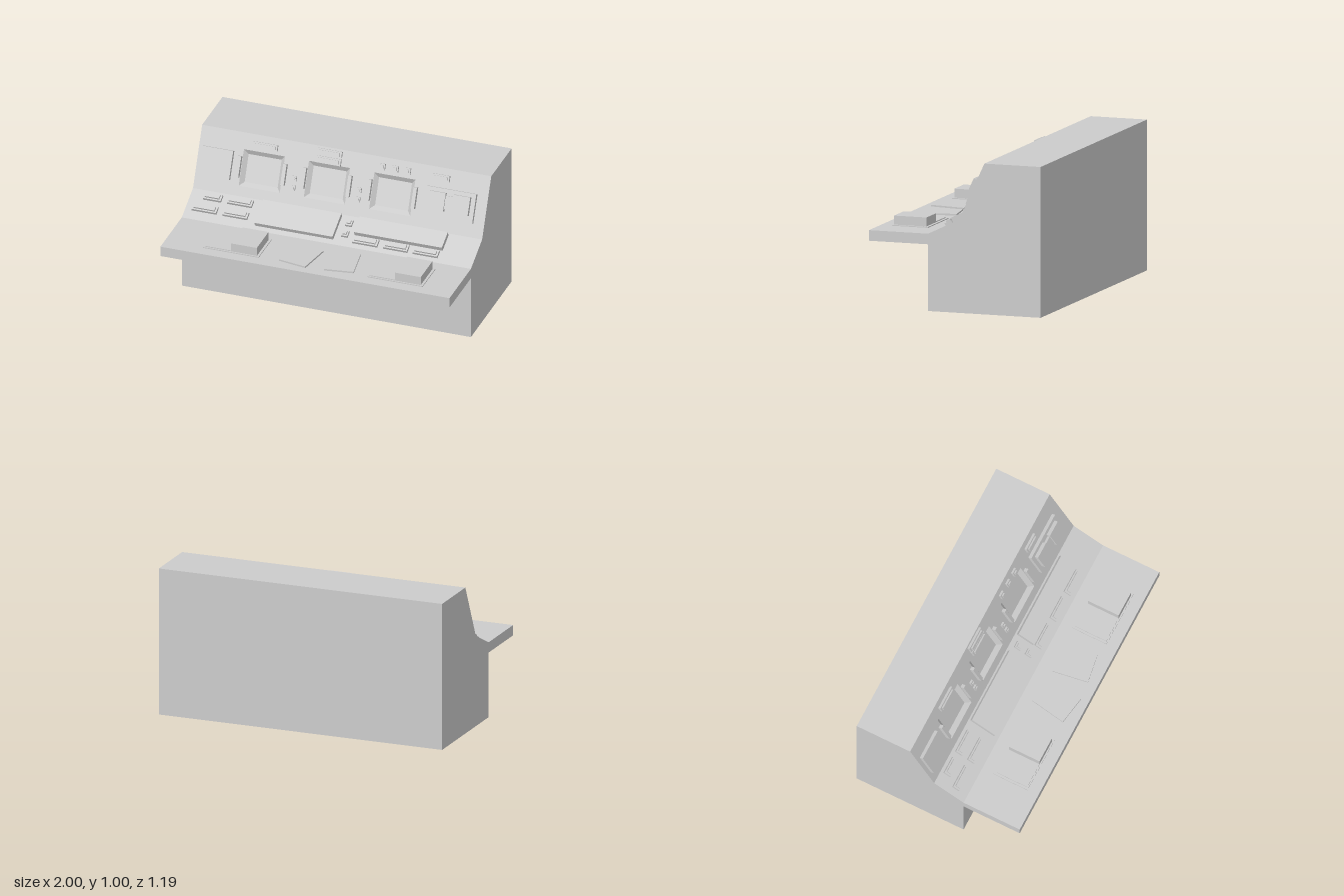
import * as THREE from 'three';

const material = new THREE.MeshStandardMaterial({ color: 0xcccccc, flatShading: true });

function add(parent, name, geometry) {
  const mesh = new THREE.Mesh(geometry, material);
  mesh.name = name;
  parent.add(mesh);
  return mesh;
}

// Box from min/max in the panel plane (x, v) and outward range (t0..t1)
function slab(parent, name, x0, x1, v0, v1, t1, t0 = -0.002) {
  const mesh = add(parent, name, new THREE.BoxGeometry(x1 - x0, v1 - v0, t1 - t0));
  mesh.position.set((x0 + x1) / 2, (v0 + v1) / 2, (t0 + t1) / 2);
  return mesh;
}

// Switch strip: a base with a smaller raised cap
function strip(parent, name, x0, x1, v0, v1, t) {
  const group = new THREE.Group();
  group.name = name;
  parent.add(group);
  const e = Math.min(0.012, (x1 - x0) / 5);
  slab(group, 'stripBase', x0, x1, v0, v1, t * 0.6);
  slab(group, 'stripCap', x0 + e, x1 - e, v0 + 0.01, v1 - 0.01, t, t * 0.6);
}

// Rectangle corners, counter-clockwise
const rect = (x0, x1, y0, y1) => [[x0, y0], [x1, y0], [x1, y1], [x0, y1]];
const points = (list) => list.map(([a, b]) => new THREE.Vector2(a, b));

// Sunken screen: four bevelled walls and a flat floor
function recess(x0, x1, v0, v1, inset, depth) {
  const outer = rect(x0, x1, v0, v1).map(([x, y]) => [x, y, 0]);
  const inner = rect(x0 + inset, x1 - inset, v0 + inset, v1 - inset).map(([x, y]) => [x, y, -depth]);
  const pos = [];
  const quad = (a, b, c, d) => pos.push(...a, ...b, ...c, ...a, ...c, ...d);
  for (let i = 0; i < 4; i++) {
    const j = (i + 1) % 4;
    quad(outer[i], outer[j], inner[j], inner[i]);
  }
  quad(...inner);
  const g = new THREE.BufferGeometry();
  g.setAttribute('position', new THREE.Float32BufferAttribute(pos, 3));
  g.computeVertexNormals();
  return g;
}

// Cabinet side profile (z, y) extruded across x, left open where the screen panel goes
function cabinetGeometry(foot, head) {
  const profile = [[-0.595, 0], [0.185, 0], [0.185, 0.44], [0.595, 0.44], [0.595, 0.51],
    [0.185, 0.51], foot, head, [-0.595, 0.995]];
  const full = new THREE.ExtrudeGeometry(new THREE.Shape(points(profile)), { depth: 2, bevelEnabled: false });
  full.translate(0, 0, -1).rotateY(-Math.PI / 2);
  const solid = full.index ? full.toNonIndexed() : full;
  const p = solid.attributes.position;
  const kept = [];
  const onPanel = (i) => Math.abs((p.getZ(i) - foot[0]) * (head[1] - foot[1])
    - (p.getY(i) - foot[1]) * (head[0] - foot[0])) < 1e-5;
  for (let i = 0; i < p.count; i += 3) {
    if ([0, 1, 2].every((k) => onPanel(i + k))) continue;
    for (let k = 0; k < 3; k++) kept.push(-p.getX(i + k), p.getY(i + k), p.getZ(i + k));
  }
  // Mirroring x reverses the winding, so swap two corners of each triangle
  for (let i = 0; i < kept.length; i += 9) {
    for (let k = 3; k < 6; k++) [kept[i + k], kept[i + k + 3]] = [kept[i + k + 3], kept[i + k]];
  }
  const g = new THREE.BufferGeometry();
  g.setAttribute('position', new THREE.Float32BufferAttribute(kept, 3));
  g.computeVertexNormals();
  return g;
}

export function createModel() {
  const model = new THREE.Group();
  model.name = 'controlConsole';
  const foot = [-0.03, 0.615];
  const head = [-0.205, 0.995];
  add(model, 'cabinet', cabinetGeometry(foot, head));

  // Upper sloped panel: x across, y up the slope, z outward
  const upper = new THREE.Group();
  upper.name = 'upperPanel';
  upper.position.set(0, foot[1], foot[0]);
  upper.rotation.x = -Math.atan2(foot[0] - head[0], head[1] - foot[1]);
  model.add(upper);
  const slope = Math.hypot(head[0] - foot[0], head[1] - foot[1]);
  const face = new THREE.Shape(points(rect(-1, 1, 0, slope)));

  // Three sunken screens with a bar on each side
  for (const x of [-0.552, -0.102, 0.35]) {
    face.holes.push(new THREE.Path(points(rect(x - 0.142, x + 0.142, 0.068, 0.309).reverse())));
    add(upper, 'screen', recess(x - 0.142, x + 0.142, 0.068, 0.309, 0.028, 0.027));
    for (const s of [-1, 1]) {
      const c = x + s * 0.157;
      slab(upper, 'screenSideBar', c - 0.012, c + 0.012, 0.122, 0.262, 0.027);
    }
  }
  add(upper, 'panelFace', new THREE.ShapeGeometry(face));

  // Plates at both ends, the left one carrying two linked displays
  slab(upper, 'rightPlate', -0.97, -0.757, 0.094, 0.287, 0.025);
  slab(upper, 'leftPlate', 0.585, 0.925, 0.094, 0.287, 0.025);
  slab(upper, 'display', 0.612, 0.725, 0.141, 0.262, 0.052, 0.025);
  slab(upper, 'display', 0.783, 0.895, 0.141, 0.262, 0.052, 0.025);
  slab(upper, 'displayLink', 0.725, 0.783, 0.158, 0.245, 0.042, 0.025);

  // Switch strips and buttons above the screens
  strip(upper, 'switchStrip', -0.635, -0.465, 0.332, 0.373, 0.028);
  strip(upper, 'switchStrip', -0.19, -0.024, 0.365, 0.405, 0.028);
  strip(upper, 'switchStrip', -0.19, -0.024, 0.31, 0.355, 0.028);
  strip(upper, 'switchStrip', 0.6, 0.725, 0.332, 0.373, 0.028);
  for (const x of [0.257, 0.348, 0.433]) strip(upper, 'button', x - 0.021, x + 0.021, 0.335, 0.377, 0.025);
  for (const x of [-0.323, 0.126]) {
    for (const v of [0.116, 0.178]) strip(upper, 'smallButton', x - 0.014, x + 0.014, v - 0.017, v + 0.017, 0.024);
  }

  // Lower sloped panel, same local axes
  const lower = new THREE.Group();
  lower.name = 'lowerPanel';
  lower.position.set(0, 0.51, 0.185);
  lower.rotation.x = -Math.atan2(0.215, 0.105);
  model.add(lower);
  slab(lower, 'widePlate', -0.505, 0.035, 0.037, 0.227, 0.031);
  slab(lower, 'narrowPlate', 0.163, 0.772, 0.1, 0.227, 0.034);
  for (const [x0, x1, v] of [[-0.906, -0.783, 0.165], [-0.953, -0.783, 0.067],
    [-0.74, -0.57, 0.165], [-0.74, -0.57, 0.067],
    [0.168, 0.34, 0.035], [0.382, 0.548, 0.035], [0.585, 0.757, 0.035]]) {
    strip(lower, 'keyStrip', x0, x1, v, v + 0.052, 0.03);
  }
  for (const v of [0.093, 0.18]) strip(lower, 'button', 0.08, 0.124, v - 0.024, v + 0.024, 0.028);

  // Desk: two trays with a low and a tall block
  const block = (name, x0, x1, z0, z1, y1) => {
    const m = add(model, name, new THREE.BoxGeometry(x1 - x0, y1 - 0.508, z1 - z0));
    m.position.set((x0 + x1) / 2, (y1 + 0.508) / 2, (z0 + z1) / 2);
    return m;
  };
  for (const x of [-0.542, 0.592]) {
    block('tray', x - 0.193, x + 0.193, 0.265, 0.516, 0.516);
    block('lowBlock', x - 0.177, x, 0.282, 0.506, 0.522);
    block('tallBlock', x, x + 0.177, 0.282, 0.506, 0.575);
  }

  // Two loose sheets turned towards each other
  for (const [x, z, turn] of [[-0.094, 0.404, -0.17], [0.187, 0.393, 0.15]]) {
    block('sheet', x - 0.098, x + 0.098, z - 0.122, z + 0.122, 0.521).rotation.y = turn;
  }
  return model;
}
